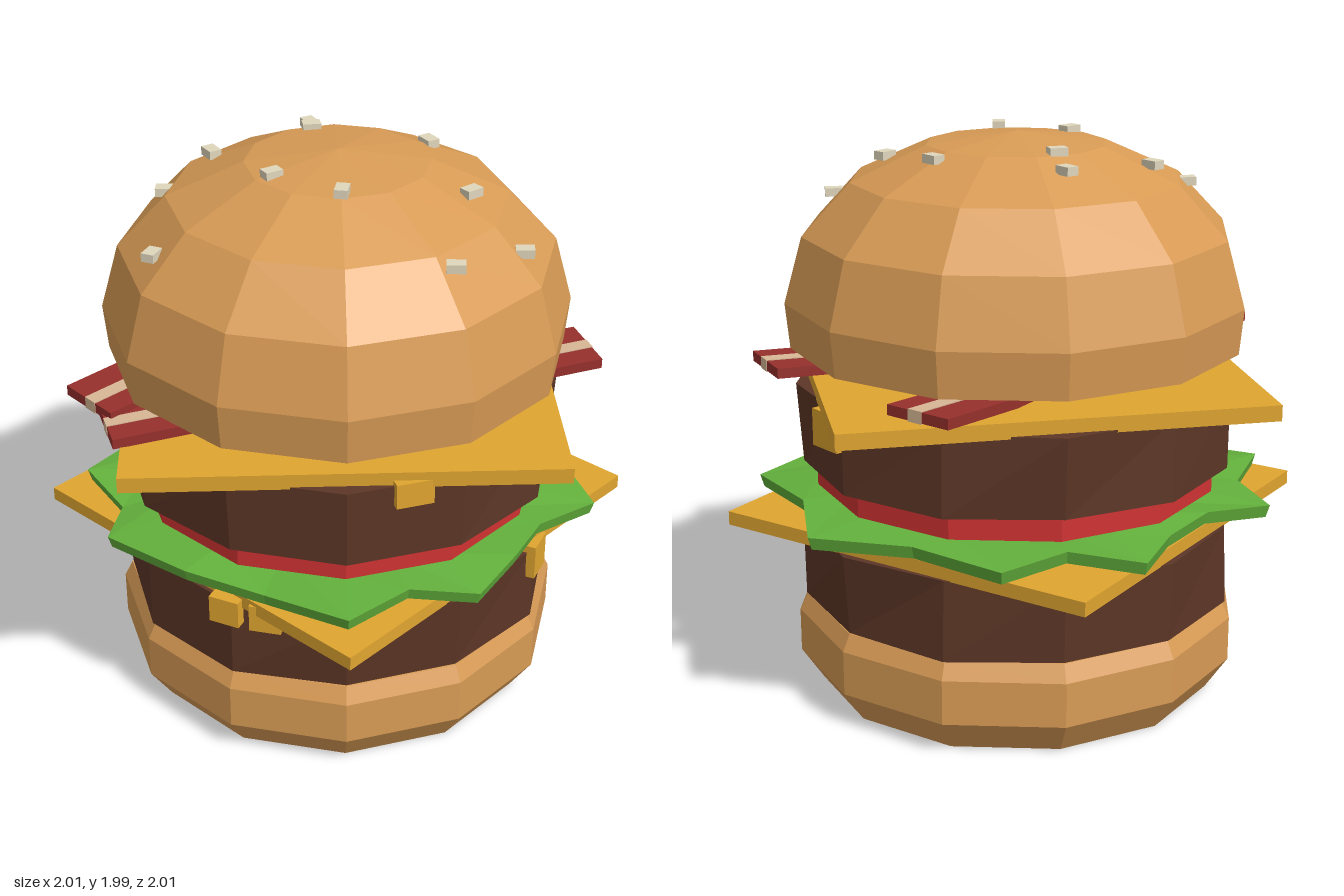
import * as THREE from 'three';

const mat = (color) => new THREE.MeshStandardMaterial({ color, flatShading: true, side: THREE.DoubleSide });
const SIDES = 12;

export function createModel() {
  const burger = new THREE.Group();
  const bun = mat(0xd89b55), meat = mat(0x5c3626), cheese = mat(0xe0a530), leaf = mat(0x63b03c);
  const tomato = mat(0xd03232), bacon = mat(0x96302c), fat = mat(0xd8b896), seed = mat(0xe0d6bc);

  const add = (name, geometry, material, x = 0, y = 0, z = 0, turn = 0, parent = burger) => {
    const mesh = new THREE.Mesh(geometry, material);
    mesh.name = name;
    mesh.position.set(x, y, z);
    mesh.rotation.y = turn;
    parent.add(mesh);
    return mesh;
  };
  const lathe = (points) => new THREE.LatheGeometry(points.map(([r, y]) => new THREE.Vector2(r, y)), SIDES);

  // Buns
  add('bottomBun', lathe([[0, 0], [0.72, 0], [0.8, 0.12], [0.8, 0.28], [0.77, 0.34], [0, 0.34]]), bun);
  add('topBun', lathe([[0, 1.26], [0.8, 1.26], [0.815, 1.42], [0.75, 1.65], [0.58, 1.83], [0.315, 1.95], [0, 1.99]]), bun);

  // Patties with slightly uneven corners
  const pattyGeometry = (phase) => {
    const g = new THREE.CylinderGeometry(0.78, 0.775, 0.285, SIDES);
    const p = g.attributes.position;
    for (let i = 0; i < p.count; i++) {
      const x = p.getX(i), y = p.getY(i), z = p.getZ(i);
      if (Math.hypot(x, z) < 0.1) continue;
      const a = Math.round(Math.atan2(x, z) / (Math.PI / 6));
      const k = 1 + 0.012 * Math.sin(((a + SIDES) % SIDES) * 2.3 + y * 9 + phase);
      p.setXYZ(i, x * k, y, z * k);
    }
    return g;
  };
  add('lowerPatty', pattyGeometry(0), meat, 0, 0.485, 0);
  add('upperPatty', pattyGeometry(1), meat, 0, 0.99, 0);

  // Cheese slices and the drips hanging from them
  add('lowerCheese', new THREE.BoxGeometry(1.47, 0.05, 1.47), cheese, 0, 0.65, 0, Math.PI / 12);
  add('upperCheese', new THREE.BoxGeometry(1.47, 0.055, 1.47), cheese, 0, 1.152, 0, -Math.PI / 6);
  const drips = [
    [-0.175, 1.105, 0.735, 0.13, 0.09, -0.25],
    [0.775, 1.065, 0.065, 0.13, 0.13, Math.PI / 2],
    [0.405, 0.59, 0.655, 0.11, 0.13, 0.58],
    [-0.68, 0.61, 0.38, 0.11, 0.1, -1.0],
    [-0.59, 0.61, 0.49, 0.11, 0.1, -0.8],
  ];
  for (const [x, y, z, w, h, turn] of drips) {
    add('cheeseDrip', new THREE.BoxGeometry(w, h, 0.055), cheese, x, y, z, turn);
  }

  // Tomato
  add('tomatoSlice', new THREE.CylinderGeometry(0.72, 0.72, 0.085, SIDES), tomato, 0, 0.797, 0);

  // Lettuce: ragged outline as [degrees, radius], with a rippled rim
  const outline = [
    [0, 0.93], [20, 0.8], [45, 0.94], [60, 0.8], [75, 0.83], [90, 0.89], [105, 0.8], [120, 0.93], [140, 0.8],
    [160, 0.84], [183, 0.91], [195, 0.8], [210, 0.91], [225, 0.8], [240, 0.93], [255, 0.78], [270, 0.77],
    [285, 0.93], [300, 0.8], [315, 0.89], [338, 0.78],
  ];
  const n = outline.length, pos = [], index = [];
  // Rings run from the top centre, over the rim, to the bottom centre
  const rings = [[0, 0.755], [0.75, 0.75], [1, 0.735], [0.985, 0.69], [0.75, 0.69], [0, 0.69]];
  rings.forEach(([s, y], j) => outline.forEach(([deg, r], i) => {
    const a = THREE.MathUtils.degToRad(deg);
    const ripple = j === 2 || j === 3 ? 0.017 * Math.sin(i * 2.2) : 0;
    pos.push(Math.cos(a) * r * s, y + ripple, Math.sin(a) * r * s);
  }));
  for (let j = 0; j < rings.length - 1; j++) {
    for (let i = 0; i < n; i++) {
      const a = j * n + i, b = j * n + (i + 1) % n, c = a + n, d = b + n;
      index.push(a, b, c, b, d, c);
    }
  }
  const lettuce = new THREE.BufferGeometry();
  lettuce.setAttribute('position', new THREE.Float32BufferAttribute(pos, 3));
  lettuce.setIndex(index);
  lettuce.computeVertexNormals();
  add('lettuce', lettuce, leaf);

  // Bacon: wavy strips, each with a pale streak of fat
  const strip = (length, height, width) => {
    const g = new THREE.BoxGeometry(length, height, width, 10, 1, 1);
    const p = g.attributes.position;
    for (let i = 0; i < p.count; i++) p.setY(i, p.getY(i) + 0.008 * Math.sin(p.getX(i) * 9));
    return g;
  };
  const strips = [[-0.9, -0.14, 0.81, -0.44, 1.228], [-0.9, -0.02, 0.78, 0.43, 1.203]];
  for (const [x0, z0, x1, z1, y] of strips) {
    const group = new THREE.Group();
    group.name = 'baconStrip';
    group.position.set((x0 + x1) / 2, y, (z0 + z1) / 2);
    group.rotation.set(0, -Math.atan2(z1 - z0, x1 - x0), 0);
    const length = Math.hypot(x1 - x0, z1 - z0);
    add('baconMeat', strip(length, 0.036, 0.25), bacon, 0, 0, 0, 0, group);
    add('baconFat', strip(length + 0.004, 0.042, 0.055), fat, 0, 0, 0.01, 0, group);
    burger.add(group);
  }

  // Sesame seeds: x, y, z, turn
  const seeds = [
    [-0.46, 1.81, -0.37, -0.6], [-0.26, 1.895, -0.4, 1.57], [0.13, 1.92, -0.39, 1.5], [0.07, 1.96, -0.28, -0.4],
    [-0.67, 1.745, -0.07, 0.6], [-0.26, 1.965, 0.01, 0], [0.37, 1.935, 0, 1.57], [-0.14, 1.965, 0.25, 0.85],
    [0.3, 1.895, 0.35, 0.1], [0.37, 1.745, 0.56, -0.6], [0.05, 1.8, 0.62, -0.6],
  ];
  const seedGeometry = new THREE.BoxGeometry(0.063, 0.03, 0.045);
  for (const [x, y, z, turn] of seeds) add('sesameSeed', seedGeometry, seed, x, y, z, turn);

  return burger;
}
